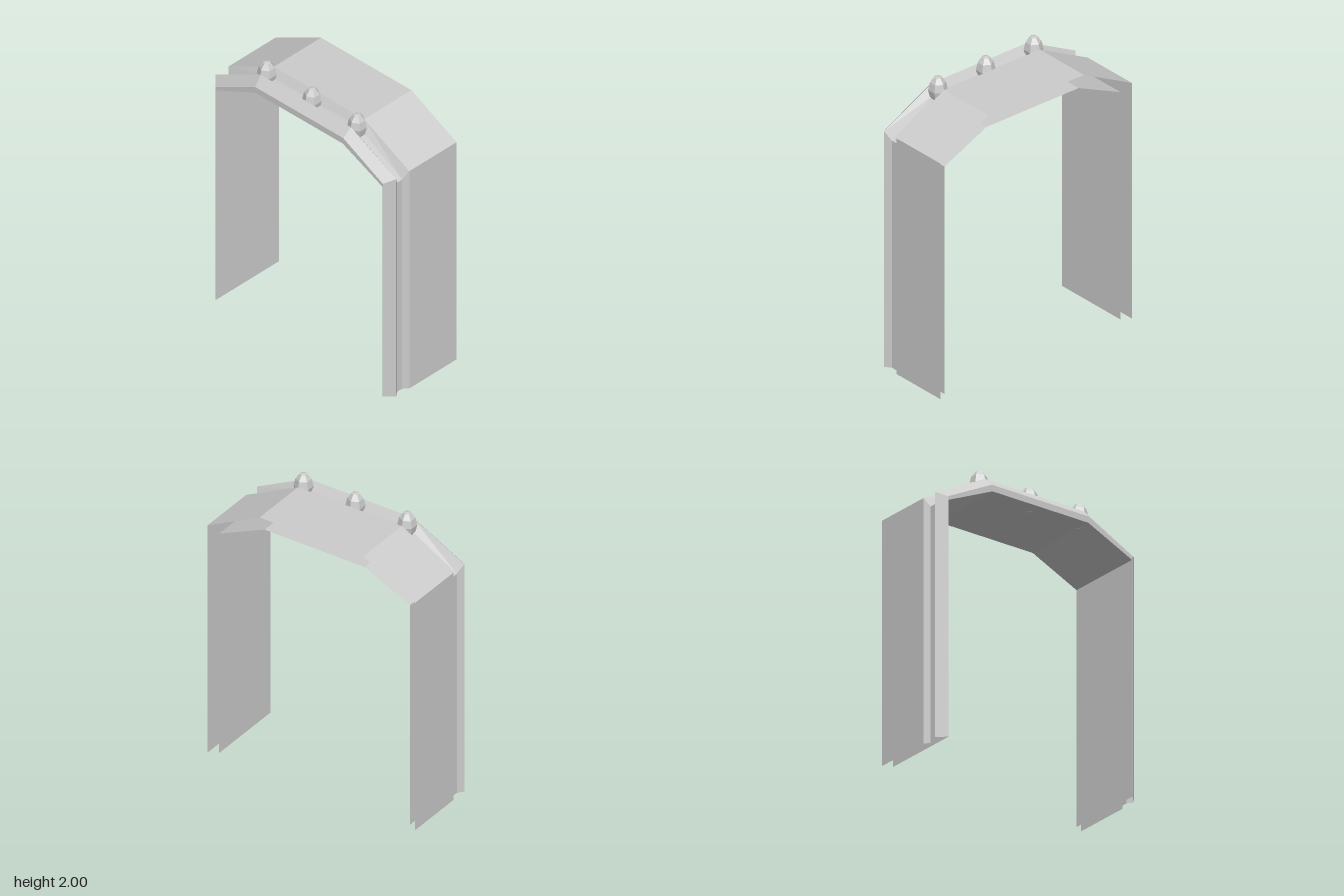
import * as THREE from 'three';

const material = new THREE.MeshStandardMaterial({
  color: 0xcccccc, flatShading: true, side: THREE.DoubleSide,
});

// Half-section of the arch: [x, post z, corner y, shoulder z, top y]
const outer = (x) => [x, 0.8, 1.72, 0.4, 1.925];
const groove = (x) => [x, 0.77, 1.657, 0.395, 1.87];
const inner = (x) => [x, 0.737, 1.66, 0.385, 1.82];
const rim = [-0.305, 0.74, 1.685, 0.39, 1.865];

// Sweeps a row of sections over the arch, from the front foot to the back foot
function archSheet(name, sections) {
  const path = ([x, z, yc, zs, yt]) => [
    [x, 0, z], [x, yc, z], [x, yt, zs], [x, yt, -zs], [x, yc, -z], [x, 0, -z],
  ];
  const rows = sections.map(path);
  const positions = [];
  for (let j = 0; j < rows.length - 1; j++) {
    for (let i = 0; i < 5; i++) {
      const a = rows[j][i], b = rows[j + 1][i], c = rows[j + 1][i + 1], d = rows[j][i + 1];
      positions.push(...a, ...b, ...c, ...a, ...c, ...d);
    }
  }
  const geometry = new THREE.BufferGeometry();
  geometry.setAttribute('position', new THREE.Float32BufferAttribute(positions, 3));
  geometry.computeVertexNormals();
  const mesh = new THREE.Mesh(geometry, material);
  mesh.name = name;
  return mesh;
}

export function createModel() {
  const model = new THREE.Group();
  model.name = 'archFrame';

  // Broad outer panel, open at its +x end
  model.add(archSheet('outerPanel', [outer(-0.125), outer(0.305)]));
  // Channel running beside the bevelled edge
  model.add(archSheet('groove', [outer(-0.245), groove(-0.205), groove(-0.16), outer(-0.125)]));
  // Bevel and narrow end wall
  model.add(archSheet('bevelledRim', [inner(-0.305), rim, outer(-0.245)]));
  // Inside lining, a little shorter than the outer panel
  model.add(archSheet('innerLining', [inner(0.27), inner(-0.305)]));

  // Three faceted studs sitting in the groove
  const half = [[0, -0.095], [0.026, -0.088], [0.052, -0.052], [0.064, 0]];
  const profile = [...half, ...half.slice(0, 3).reverse().map(([r, y]) => [r, -y])]
    .map(([r, y]) => new THREE.Vector2(r, y));
  const studGeometry = new THREE.LatheGeometry(profile, 6);
  studGeometry.rotateY(Math.PI / 6);
  for (const z of [-0.4, 0, 0.4]) {
    const stud = new THREE.Mesh(studGeometry, material);
    stud.name = 'stud';
    stud.position.set(-0.188, 1.905, z);
    model.add(stud);
  }
  return model;
}
